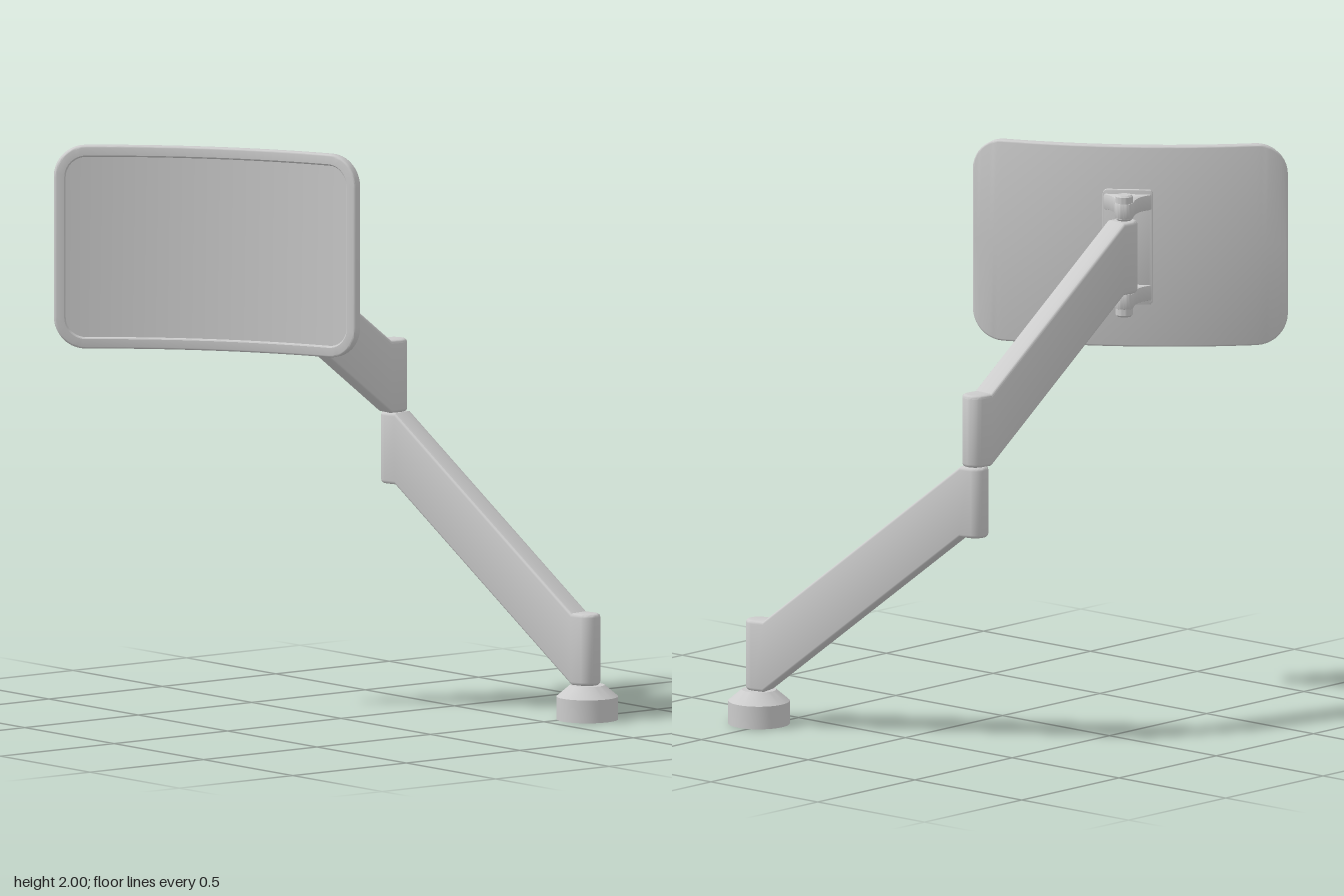
import * as THREE from 'three';
import { toCreasedNormals } from 'three/addons/utils/BufferGeometryUtils.js';

const material = new THREE.MeshStandardMaterial({ color: 0xcccccc });

function addMesh(parent, name, geometry, x = 0, y = 0, z = 0) {
  const mesh = new THREE.Mesh(geometry, material);
  mesh.name = name;
  mesh.position.set(x, y, z);
  parent.add(mesh);
  return mesh;
}

// Counter-clockwise rounded rectangle; stops subdivide the long straight edges.
function roundRect(w, h, r, stops, steps = 10) {
  const points = [];
  const cx = w / 2 - r, cy = h / 2 - r;
  [[cx, cy], [-cx, cy], [-cx, -cy], [cx, -cy]].forEach(([x, y], c) => {
    // After the first and third corner comes a long edge: top, then bottom
    for (let i = 0; i <= steps; i++) {
      const a = (c + i / steps) * Math.PI / 2;
      points.push([x + r * Math.cos(a), y + r * Math.sin(a)]);
    }
    if (c === 0) for (const t of stops) points.push([cx * (1 - 2 * t), h / 2]);
    if (c === 2) for (const t of stops) points.push([-cx * (1 - 2 * t), -h / 2]);
  });
  return points;
}

// Collapses a loop onto its long axis, closing the shell.
const collapse = (loop) => loop.map(([x]) => [x, 0]);

// Skins a list of equal-length loops of Vector3, leaving out empty triangles.
function loft(rings, crease = 0.6) {
  const positions = [];
  const tri = new THREE.Triangle();
  const push = (a, b, c) => {
    if (tri.set(a, b, c).getArea() > 1e-9) for (const p of [a, b, c]) positions.push(p.x, p.y, p.z);
  };
  for (let i = 0; i < rings.length - 1; i++) {
    const A = rings[i], B = rings[i + 1], n = A.length;
    for (let j = 0; j < n; j++) {
      const k = (j + 1) % n;
      push(A[j], A[k], B[k]);
      push(A[j], B[k], B[j]);
    }
  }
  const geometry = new THREE.BufferGeometry();
  geometry.setAttribute('position', new THREE.Float32BufferAttribute(positions, 3));
  return toCreasedNormals(geometry, crease);
}

// Quarter-round steps: [inset, distance from the face].
const rounding = (e) => [0, 1, 2, 3].map((i) => {
  const a = i * Math.PI / 6;
  return [e * (1 - Math.sin(a)), e * (1 - Math.cos(a))];
});

// Sloping arm: stadium plan with level ends, rising between two vertical pivots.
function addArm(parent, name, from, to, y, height, rise) {
  const dx = to[0] - from[0], dz = to[1] - from[1];
  const length = Math.hypot(dx, dz), radius = 0.045, level = 0.038;
  const stops = [level / length, 1 - level / length];
  const place = (loop, h) => loop.map(([x, v]) => {
    const u = x + length / 2;
    const t = THREE.MathUtils.clamp((u - level) / (length - 2 * level), 0, 1);
    return new THREE.Vector3(u, h + t * rise, -v);
  });
  const loopAt = (inset) => {
    const r = radius - inset;
    return roundRect(length + 2 * r, 2 * r, r, stops);
  };
  const edge = rounding(0.012);
  const cap = collapse(loopAt(0.012));
  const geometry = loft([
    place(cap, 0),
    ...edge.map(([inset, d]) => place(loopAt(inset), d)),
    ...edge.slice().reverse().map(([inset, d]) => place(loopAt(inset), height - d)),
    place(cap, height),
  ]);
  addMesh(parent, name, geometry, from[0], y, from[1]).rotation.y = Math.atan2(-dz, dx);
}

// Curved screen: rounded rectangle bent about a vertical axis in front of it.
function screenGeometry() {
  const W = 1.108, H = 0.71, R = 1.635, half = 0.018, corner = 0.11, lip = 0.04;
  const stops = Array.from({ length: 31 }, (_, i) => (i + 1) / 32);
  const bend = (loop, d) => loop.map(([x, y]) => new THREE.Vector3(
    (R - d) * Math.sin(x / R), y, R - (R - d) * Math.cos(x / R)));
  const loopAt = (inset) => roundRect(W - 2 * inset, H - 2 * inset, corner - inset, stops);
  const edge = rounding(0.007);
  return loft([
    bend(collapse(loopAt(0.007)), -half),
    ...edge.map(([inset, d]) => bend(loopAt(inset), -half + d)),
    ...edge.slice().reverse().map(([inset, d]) => bend(loopAt(inset), half - d)),
    // Bezel lip stepping down to the recessed display
    bend(loopAt(lip - 0.006), half),
    bend(loopAt(lip - 0.002), half - 0.003),
    bend(loopAt(lip), half - 0.009),
    bend(collapse(loopAt(lip)), half - 0.009),
  ]);
}

// Bracket ear: round eye at the pin, flaring to the back plate.
function earGeometry(pinZ, thickness) {
  const bevel = 0.006, r = 0.027, foot = 0.08, root = -0.026;
  const shape = new THREE.Shape();
  shape.moveTo(foot, root);
  shape.lineTo(-foot, root);
  shape.bezierCurveTo(-0.05, -0.05, -r, -0.08, -r, pinZ);
  shape.absarc(0, pinZ, r, Math.PI, 2 * Math.PI, false);
  shape.bezierCurveTo(r, -0.08, 0.05, -0.05, foot, root);
  const geometry = new THREE.ExtrudeGeometry(shape, {
    depth: thickness - 2 * bevel, bevelEnabled: true, bevelSize: bevel,
    bevelThickness: bevel, bevelSegments: 2, curveSegments: 16,
  });
  geometry.translate(0, 0, bevel - thickness / 2).rotateX(Math.PI / 2);
  return toCreasedNormals(geometry, 0.6);
}

export function createModel() {
  const model = new THREE.Group();
  model.name = 'monitorArm';
  const foot = [0.54, -0.66], elbow = [-0.3, -0.47], wrist = [-0.365, 0.225];

  // Round base with a chamfered shoulder
  const profile = [[0, 0], [0.107, 0], [0.107, 0.08], [0.068, 0.113], [0.06, 0.12], [0, 0.12]]
    .map(([x, y]) => new THREE.Vector2(x, y));
  addMesh(model, 'base', toCreasedNormals(new THREE.LatheGeometry(profile, 48), 0.5), foot[0], 0, foot[1]);

  // Two arms
  addArm(model, 'lowerArm', foot, elbow, 0.12, 0.25, 0.63);
  addArm(model, 'upperArm', elbow, wrist, 1.0, 0.255, 0.515);

  // Screen head, turned toward the model's right
  const head = new THREE.Group();
  head.name = 'screenHead';
  head.position.set(-0.262, 1.645, 0.359);
  head.rotation.y = 0.652;
  model.add(head);
  addMesh(head, 'screen', screenGeometry());

  // Bracket: back plate, two ears and their pin knobs
  const pinZ = -0.167;
  const plate = new THREE.ExtrudeGeometry(
    new THREE.Shape(roundRect(0.168, 0.4, 0.012, [], 4).map(([x, y]) => new THREE.Vector2(x, y))),
    { depth: 0.01, bevelEnabled: true, bevelSize: 0.003, bevelThickness: 0.003, bevelSegments: 2 });
  addMesh(head, 'bracketPlate', toCreasedNormals(plate, 0.6), 0, 0, -0.026);
  const knob = [[0, -0.045], [0.024, -0.045], [0.03, -0.039], [0.03, 0.039], [0.024, 0.045], [0, 0.045]]
    .map(([x, y]) => new THREE.Vector2(x, y));
  for (const side of [1, -1]) {
    const name = side > 0 ? 'upper' : 'lower';
    addMesh(head, name + 'BracketEar', earGeometry(pinZ, 0.055), 0, side * 0.16, 0);
    addMesh(head, name + 'PinKnob', toCreasedNormals(new THREE.LatheGeometry(knob, 32), 0.5), 0, side * 0.17, pinZ);
  }
  return model;
}
